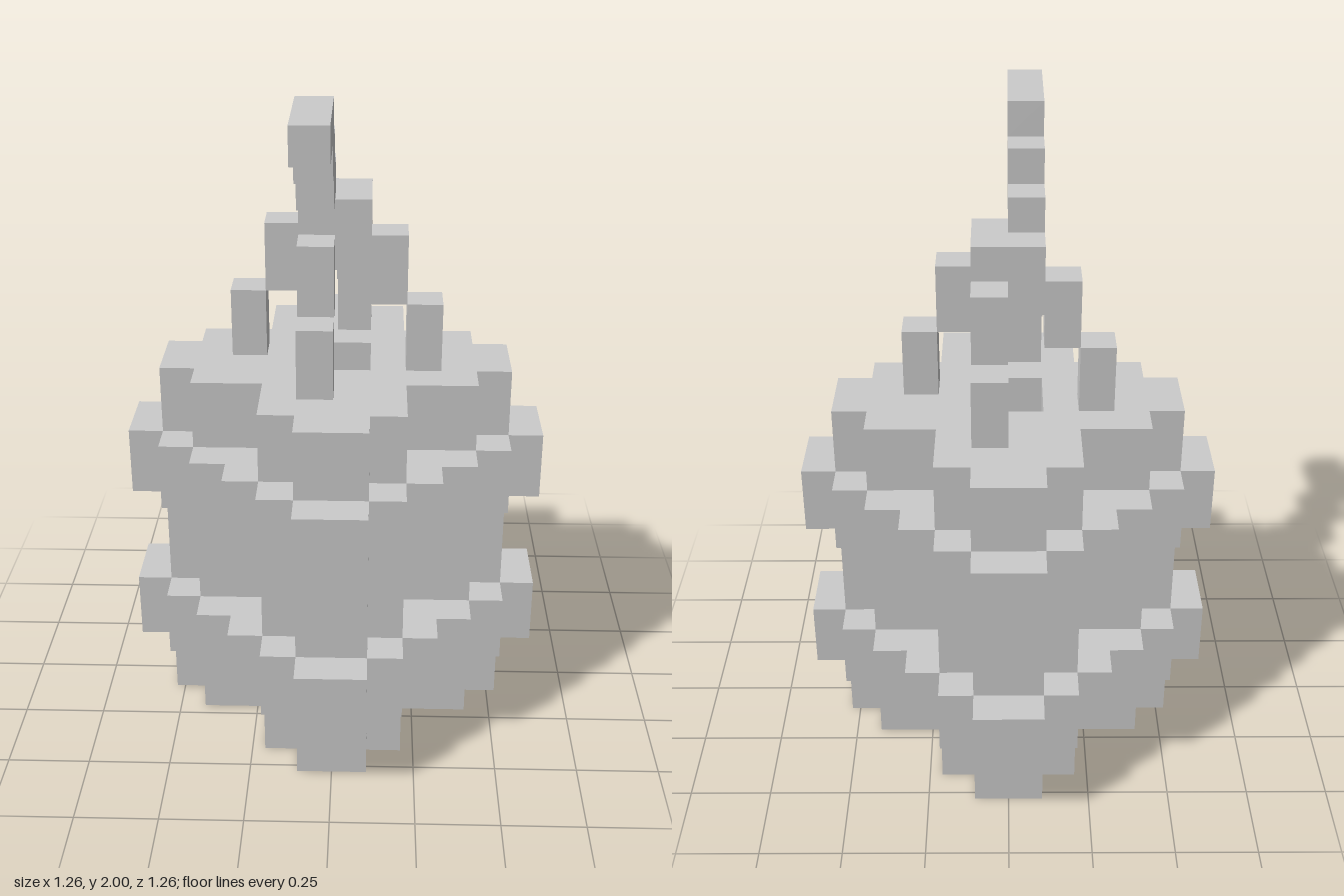
import * as THREE from 'three';

const U = 2 / 19; // one block
const material = new THREE.MeshStandardMaterial({ color: 0xcccccc, flatShading: true });

// Stepped outline, symmetric both ways, from the half-width of each row outwards
function steppedShape(halfWidths) {
  const quarter = [];
  halfWidths.forEach((w, i) => {
    const last = quarter[quarter.length - 1];
    if (last && last[0] === w) last[1] = i + 1;
    else quarter.push([w, i], [w, i + 1]);
  });
  const side = quarter.filter(([, z]) => z > 0);
  const back = [...side].reverse();
  const points = [
    ...side,
    ...back.map(([x, z]) => [-x, z]),
    ...side.map(([x, z]) => [-x, -z]),
    ...back.map(([x, z]) => [x, -z]),
  ];
  return new THREE.Shape(points.map(([x, z]) => new THREE.Vector2(x * U, z * U)));
}

// Upright slab of a shape between two block heights
function slab(name, shape, y0, y1) {
  const geometry = new THREE.ExtrudeGeometry(shape, { depth: (y1 - y0) * U, bevelEnabled: false });
  geometry.rotateX(-Math.PI / 2);
  const mesh = new THREE.Mesh(geometry, material);
  mesh.name = name;
  mesh.position.y = y0 * U;
  return mesh;
}

// Box between two block corners
function block(name, [x0, y0, z0], [x1, y1, z1]) {
  const mesh = new THREE.Mesh(
    new THREE.BoxGeometry((x1 - x0) * U, (y1 - y0) * U, (z1 - z0) * U), material);
  mesh.name = name;
  mesh.position.set((x0 + x1) * U / 2, (y0 + y1) * U / 2, (z0 + z1) * U / 2);
  return mesh;
}

export function createModel() {
  const model = new THREE.Group();
  model.name = 'blockLantern';

  // Lobed body, its collar with a square opening, and two wider bands
  const bodyRows = [5, 4, 2, 2, 1];
  const bandRows = [6, 5, 4, 3, 2, 1];
  const collar = steppedShape(bodyRows);
  collar.holes.push(new THREE.Path(
    [[-1, -1], [-1, 1], [1, 1], [1, -1]].map(([x, z]) => new THREE.Vector2(x * U, z * U))));
  model.add(
    slab('body', steppedShape(bodyRows), 0, 8),
    slab('lowerBand', steppedShape(bandRows), 2, 4),
    slab('upperBand', steppedShape(bandRows), 7, 9),
    slab('collar', collar, 9, 11));

  // Four legs in a pinwheel, each stepping in towards the hub
  for (let i = 0; i < 4; i++) {
    const leg = new THREE.Group();
    leg.name = 'leg' + (i + 1);
    leg.add(
      block('legPost', [2, 11, 0], [3, 13, 1]),
      block('legShoulder', [1, 13, 0], [2, 15, 1]));
    leg.rotation.y = i * Math.PI / 2;
    model.add(leg);
  }

  // Hub and the tail curling up to the front
  model.add(block('hub', [-1, 14, -1], [1, 16, 1]));
  [[0, 2], [1, 3], [2, 5]].forEach(([z0, z1], i) =>
    model.add(block('tail' + (i + 1), [-1, 16 + i, z0], [0, 17 + i, z1])));

  return model;
}
